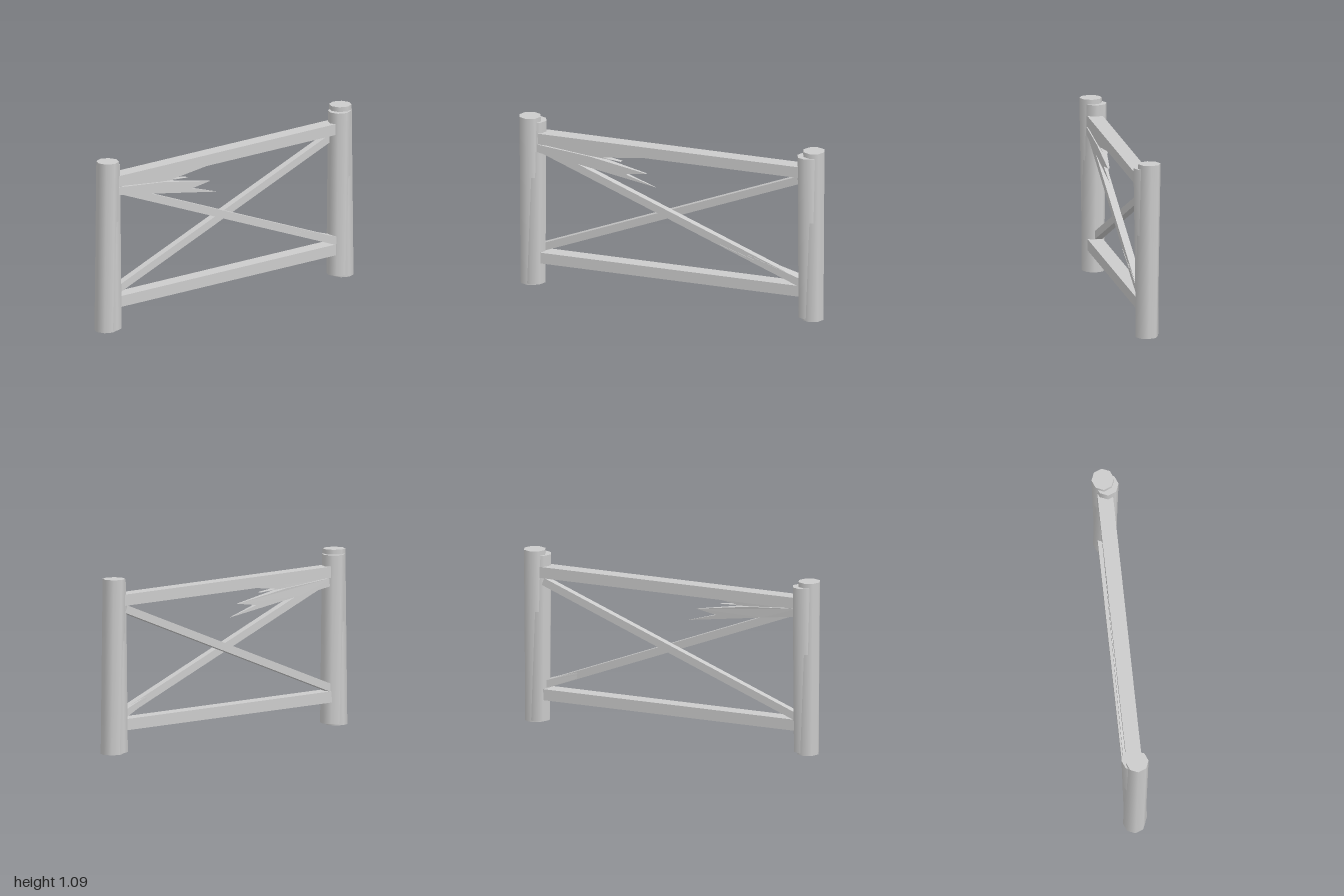
import * as THREE from 'three';
import { mergeGeometries } from 'three/addons/utils/BufferGeometryUtils.js';

const material = new THREE.MeshStandardMaterial({ color: 0xcccccc, side: THREE.DoubleSide });

function add(parent, name, geometry) {
  const mesh = new THREE.Mesh(geometry, material);
  mesh.name = name;
  parent.add(mesh);
  return mesh;
}

// Eight-sided hollow log, capped on top, open below, leaning sideways from x0 to x1
function logGeometry(y0, y1, x0, x1, z, radius) {
  const h = y1 - y0;
  const wall = new THREE.CylinderGeometry(radius, radius, h, 8, 1, true);
  wall.translate(0, h / 2, 0);
  const cap = new THREE.CircleGeometry(radius, 8);
  cap.rotateX(-Math.PI / 2).translate(0, h, 0);
  const g = mergeGeometries([wall, cap]);
  const p = g.attributes.position;
  for (let i = 0; i < p.count; i++) {
    const t = p.getY(i) / h;
    p.setXYZ(i, p.getX(i) + x0 + (x1 - x0) * t, p.getY(i) + y0, p.getZ(i) + z);
  }
  return g;
}

// Wedge with a side outline of [z, y] points, thick at its root and thin at its tips
function splinterGeometry(points, rootZ, tipZ, inner, outer) {
  const shape = new THREE.Shape(points.map(([z, y]) => new THREE.Vector2(z, y)));
  const g = new THREE.ExtrudeGeometry(shape, { depth: 1, bevelEnabled: false });
  g.rotateY(-Math.PI / 2);
  const p = g.attributes.position;
  for (let i = 0; i < p.count; i++) {
    const t = THREE.MathUtils.clamp((p.getZ(i) - rootZ) / (tipZ - rootZ), 0, 1);
    const innerX = THREE.MathUtils.lerp(inner, outer - 0.004, t);
    p.setX(i, THREE.MathUtils.lerp(outer, innerX, -p.getX(i)));
  }
  g.computeVertexNormals();
  return g;
}

export function createModel() {
  const model = new THREE.Group();
  model.name = 'fence';

  // Each post is a leaning log with a slightly shorter one overlapping it
  ['frontPost', 'backPost'].forEach((name, i) => {
    const post = new THREE.Group();
    post.name = name;
    add(post, 'postLog', logGeometry(0, 1.09, -0.007, 0.011, 0.93, 0.07));
    add(post, 'postSleeve', logGeometry(0.01, 1.06, 0.003, -0.013, 0.903, 0.071));
    post.rotation.y = i * Math.PI;
    model.add(post);
  });

  // Horizontal rails
  for (const [name, y] of [['topRail', 0.955], ['bottomRail', 0.18]]) {
    add(model, name, new THREE.BoxGeometry(0.095, 0.07, 1.77)).position.set(-0.003, y, 0);
  }

  // Crossed diagonal braces, lapped side by side
  const rise = Math.atan2(0.65, 1.68);
  for (const [name, side] of [['rightBrace', -1], ['leftBrace', 1]]) {
    const brace = add(model, name, new THREE.BoxGeometry(0.045, 0.048, 1.84));
    brace.position.set(side * 0.022, 0.566, 0);
    brace.rotation.x = -side * rise;
  }

  // Split wood at the upper end of the left brace
  add(model, 'upperSplinter', splinterGeometry(
    [[0.87, 0.925], [0.54, 0.89], [0.32, 0.875], [0.44, 0.888], [0.15, 0.922], [0.4, 0.94]],
    0.85, 0.12, -0.045, 0.043));
  add(model, 'lowerSplinter', splinterGeometry(
    [[0.87, 0.92], [0.52, 0.885], [0.15, 0.82], [0.29, 0.80], [0.09, 0.74], [0.62, 0.83], [0.87, 0.87]],
    0.85, 0.09, -0.045, 0.048));

  // Small split at the lower end of the left brace
  add(model, 'braceEndSplinter', splinterGeometry(
    [[-0.87, 0.21], [-0.87, 0.26], [-0.52, 0.375], [-0.57, 0.345], [-0.33, 0.42], [-0.5, 0.35]],
    -0.85, -0.33, -0.03, 0.047));

  return model;
}
